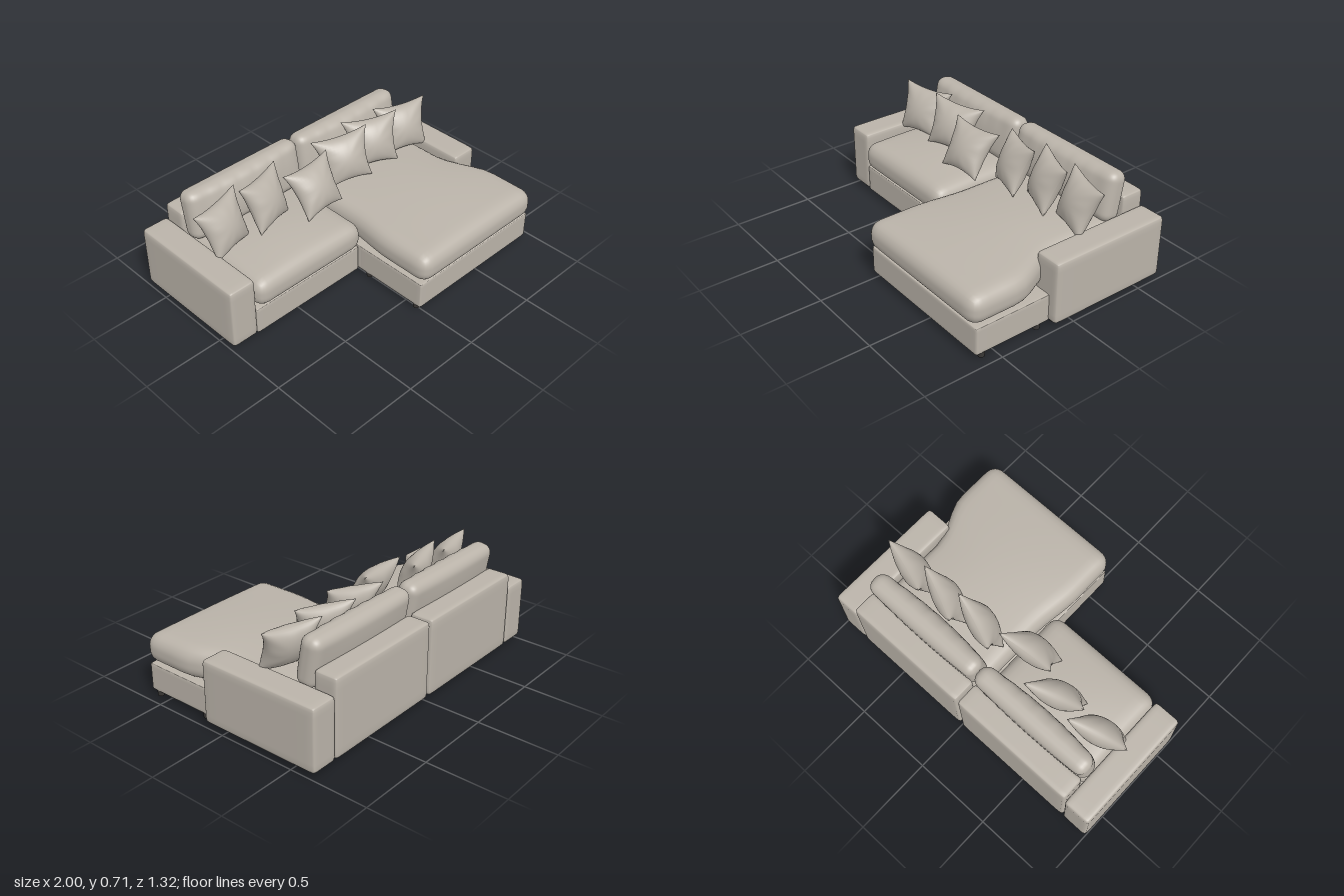
import * as THREE from 'three';
import { mergeGeometries, mergeVertices } from 'three/addons/utils/BufferGeometryUtils.js';

const fabric = new THREE.MeshStandardMaterial({ color: 0xbab3a9 });
fabric.name = 'warm grey fabric';
const dark = new THREE.MeshStandardMaterial({ color: 0x3a3836 });
dark.name = 'dark legs';

// Rounded block between two corners; rule(p, half) may reshape each local point.
function block(name, min, max, radius, rule, n = 12) {
  const half = max.map((v, i) => (v - min[i]) / 2);
  let geo = new THREE.BoxGeometry(2, 2, 2, n, n, n);
  geo.deleteAttribute('normal');
  geo.deleteAttribute('uv');
  geo = mergeVertices(geo);
  const pos = geo.attributes.position;
  const p = new THREE.Vector3(), inner = new THREE.Vector3();
  const h = new THREE.Vector3(...half);
  const core = h.clone().subScalar(radius);
  for (let i = 0; i < pos.count; i++) {
    p.fromBufferAttribute(pos, i);
    // crowd the grid lines towards the rounded edges
    for (const a of ['x', 'y', 'z']) p[a] = Math.sin(p[a] * Math.PI / 2) * h[a];
    inner.copy(p).clamp(core.clone().negate(), core);
    p.sub(inner).setLength(radius).add(inner);
    if (rule) rule(p, h);
    pos.setXYZ(i, p.x, p.y, p.z);
  }
  geo.computeVertexNormals();
  const mesh = new THREE.Mesh(geo, fabric);
  mesh.name = name;
  mesh.position.set(...max.map((v, i) => (v + min[i]) / 2));
  return mesh;
}

const dome = (a, b) => Math.max(0, 1 - a * a) * Math.max(0, 1 - b * b);

// Soft crown on top of a seat cushion
function crown(p, h) {
  if (p.y > 0) p.y += 0.035 * dome(p.x / h.x, p.z / h.z) * p.y / h.y;
}

// Back cushion: swollen front, gathered along its upper front edge
function plump(p, h) {
  const d = dome(p.x / h.x, p.y / h.y);
  const gather = Math.cos(p.x * 55) * 0.006 * Math.max(0, p.y / h.y) * (1 - (p.x / h.x) ** 2);
  if (p.z > 0) p.z += (0.03 * d + gather) * p.z / h.z;
  else p.z += 0.012 * d * p.z / h.z;
}

// Throw pillow: two puffed faces meeting in a sharp seam with pulled-out corners
function pillowGeometry(w, hgt, depth) {
  const n = 24;
  const faces = [1, -1].map((side) => {
    const g = new THREE.PlaneGeometry(2, 2, n, n);
    if (side < 0) g.rotateY(Math.PI);
    const pos = g.attributes.position;
    for (let i = 0; i < pos.count; i++) {
      const u = Math.sin(pos.getX(i) * Math.PI / 2);
      const v = Math.sin(pos.getY(i) * Math.PI / 2);
      const puff = Math.pow(dome(u, v), 0.5);
      const fold = 1 + 0.07 * Math.sin(Math.atan2(v, u) * 9) * (u * u + v * v) / 2;
      pos.setXYZ(i,
        u * w / 2 * (1 - 0.17 * (1 - v * v)) * (0.9 + 0.1 * v),
        v * hgt / 2 * (1 - 0.13 * (1 - u * u)),
        side * depth / 2 * puff * fold);
    }
    g.computeVertexNormals();
    return g;
  });
  return mergeGeometries(faces);
}

export function createModel() {
  const sofa = new THREE.Group();
  sofa.name = 'chaiseSofa';

  // Arms
  sofa.add(block('rightArm', [-1, 0.03, -0.66], [-0.822, 0.425, 0.135], 0.025));
  sofa.add(block('leftArm', [0.822, 0.03, -0.66], [1, 0.425, 0.135], 0.025));

  // Back frames
  sofa.add(block('rightBack', [-0.822, 0.03, -0.662], [-0.006, 0.52, -0.505], 0.025));
  sofa.add(block('leftBack', [0.006, 0.03, -0.662], [0.822, 0.52, -0.505], 0.025));

  // Plinths
  sofa.add(block('rightBase', [-0.825, 0.03, -0.56], [-0.03, 0.205, 0.135], 0.012));
  sofa.add(block('chaiseInnerBase', [-0.026, 0.03, -0.56], [0.825, 0.205, 0.16], 0.012));
  sofa.add(block('chaiseFrontBase', [-0.026, 0.03, 0.125], [0.942, 0.205, 0.63], 0.012));

  // Seat cushions; the chaise cushion narrows where it passes between the arms
  sofa.add(block('rightSeatCushion', [-0.822, 0.205, -0.5], [-0.022, 0.385, 0.165], 0.075, crown, 20));
  const cx = 0.4575, cz = 0.08;
  sofa.add(block('chaiseCushion', [-0.035, 0.205, -0.5], [0.95, 0.39, 0.66], 0.08, (p, h) => {
    crown(p, h);
    const t = THREE.MathUtils.smoothstep(p.z + cz, 0, 0.36);
    const edge = p.x > 0 ? THREE.MathUtils.lerp(0.825 - cx, h.x, t) : THREE.MathUtils.lerp(cx, h.x, t);
    p.x *= edge / h.x;
  }, 24));

  // Leaning back cushions
  for (const [name, x0, x1] of [['rightBackCushion', -0.825, -0.003], ['leftBackCushion', 0.003, 0.825]]) {
    const cushion = block(name, [x0, 0.375, -0.515], [x1, 0.685, -0.385], 0.055, plump, 32);
    cushion.rotation.x = -0.17;
    sofa.add(cushion);
  }

  // Throw pillows: x, y, z, yaw, lean, roll
  const pillows = [
    [-0.72, 0.535, -0.245, 0.25, -0.4, 0],
    [-0.41, 0.55, -0.245, 0.32, -0.4, -0.06],
    [-0.12, 0.545, -0.14, 0.08, -0.55, 0],
    [0.2, 0.555, -0.225, -0.38, -0.4, 0.1],
    [0.46, 0.55, -0.245, -0.42, -0.4, 0.03],
    [0.73, 0.535, -0.245, -0.3, -0.4, 0],
  ];
  const pillowGeo = pillowGeometry(0.37, 0.31, 0.16);
  pillows.forEach(([x, y, z, yaw, lean, roll], i) => {
    const pillow = new THREE.Mesh(pillowGeo, fabric);
    pillow.name = 'throwPillow' + (i + 1);
    pillow.position.set(x, y, z);
    pillow.rotation.set(lean, yaw, roll, 'YXZ');
    sofa.add(pillow);
  });

  // Short round legs
  const legGeo = new THREE.CylinderGeometry(0.022, 0.019, 0.036, 16);
  const legs = [
    [-0.92, 0.08], [-0.92, -0.58], [-0.07, 0.08], [-0.035, -0.58], [0.92, -0.58],
    [0.92, 0.08], [0.92, 0.2], [0.92, 0.58], [0, 0.2], [0, 0.58],
  ];
  legs.forEach(([x, z], i) => {
    const leg = new THREE.Mesh(legGeo, dark);
    leg.name = 'leg' + (i + 1);
    leg.position.set(x, 0.018, z);
    sofa.add(leg);
  });

  return sofa;
}
